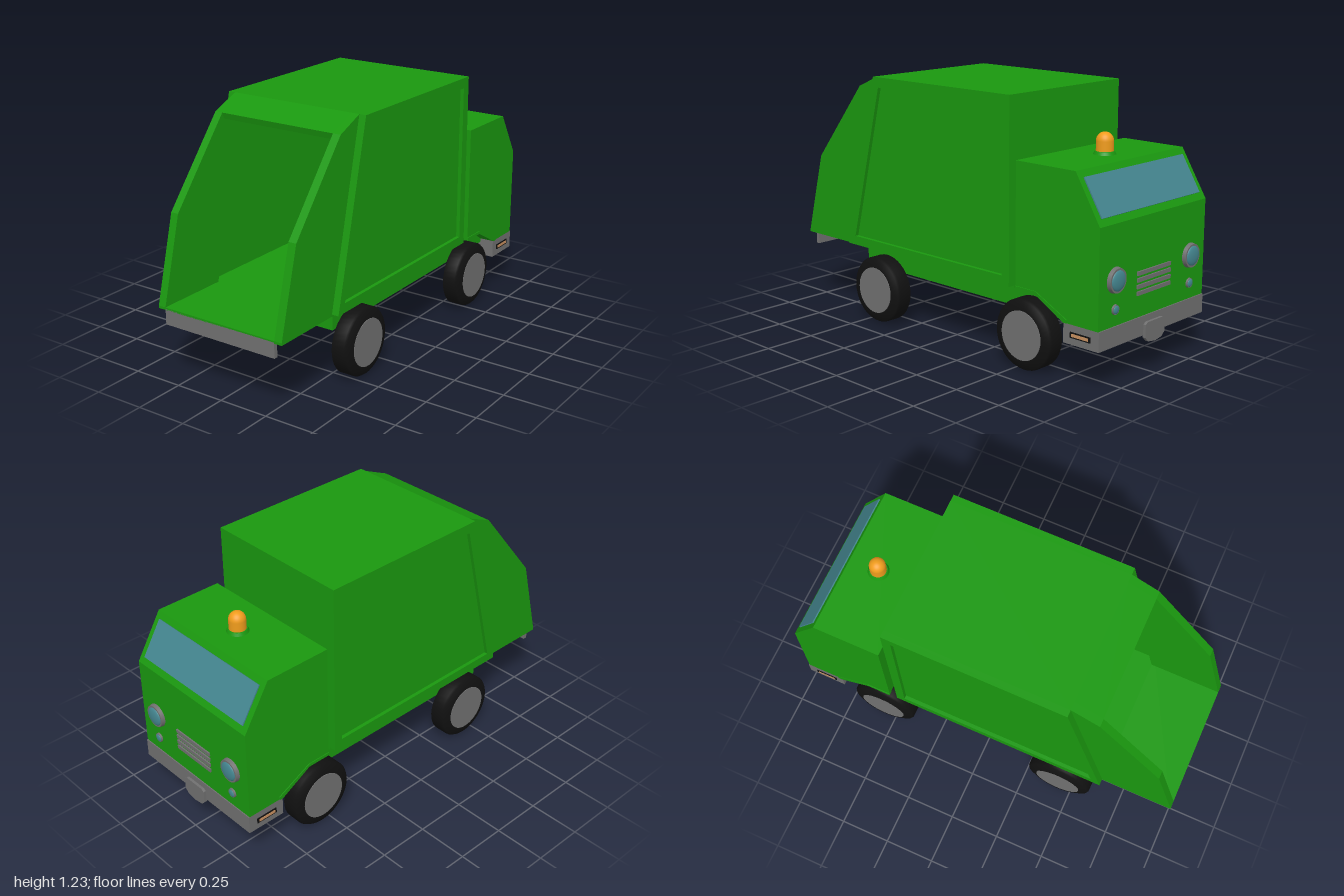
import * as THREE from 'three';

const mat = (color) => new THREE.MeshStandardMaterial({ color });

export function createModel() {
  const truck = new THREE.Group();
  truck.name = 'refuseTruck';
  const green = mat(0x1a980f), black = mat(0x101010), grey = mat(0x707070);
  const glass = mat(0x44858f), orange = mat(0xf09c1c), amber = mat(0xc89060);

  const add = (name, geometry, material, parent = truck) => {
    const mesh = new THREE.Mesh(geometry, material);
    mesh.name = name;
    parent.add(mesh);
    return mesh;
  };
  // box given by its limits on each axis
  const box = (name, x0, x1, y0, y1, z0, z1, material) => {
    const g = new THREE.BoxGeometry(x1 - x0, y1 - y0, z1 - z0);
    g.translate((x0 + x1) / 2, (y0 + y1) / 2, (z0 + z1) / 2);
    return add(name, g, material);
  };
  const points = (list) => list.map(([z, y]) => new THREE.Vector2(z, y));
  // side outline of [z, y] points, extruded from x0 to x1
  const slab = (name, outline, x0, x1, material, hole) => {
    const shape = new THREE.Shape(points(outline));
    if (hole) shape.holes.push(new THREE.Path(points(hole)));
    const g = new THREE.ExtrudeGeometry(shape, { depth: x1 - x0, bevelEnabled: false });
    g.rotateY(-Math.PI / 2).translate(x1, 0, 0);
    return add(name, g, material);
  };
  // the same slab on both sides
  const slabPair = (name, outline, x0, x1, material, hole) => {
    slab(name + 'Left', outline, x0, x1, material, hole);
    slab(name + 'Right', outline, -x1, -x0, material, hole);
  };

  // chassis
  box('chassis', -0.305, 0.305, 0.26, 0.36, -0.8, 0.58, green);

  // hollow container with framed, recessed side panels
  const side = [[-0.46, 0.37], [0.64, 0.37], [0.43, 1.23], [-0.46, 1.23]];
  const panel = [[-0.415, 0.415], [0.59, 0.415], [0.395, 1.18], [-0.415, 1.18]];
  slabPair('bodyFrame', side, 0.345, 0.38, green, panel);
  slabPair('bodyPanel', panel, 0.345, 0.362, green);
  box('bodyRoof', -0.345, 0.345, 1.2, 1.23, -0.46, 0.43, green);
  box('bodyFrontWall', -0.345, 0.345, 0.37, 1.2, -0.46, -0.43, green);
  box('bodyFloor', -0.345, 0.345, 0.358, 0.372, -0.46, 0.64, green);

  // open loading hopper
  slabPair('hopperWall', [[0.64, 0.37], [1, 0.37], [0.89, 0.78], [0.57, 1.17], [0.43, 1.23]],
    0.305, 0.345, green);
  slab('hopperHood', [[0.43, 1.23], [0.42, 1.2], [0.56, 1.14], [0.57, 1.17]], -0.305, 0.305, green);
  box('hopperFloor', -0.345, 0.345, 0.36, 0.372, 0.64, 1, green);
  box('hopperLip', -0.305, 0.305, 0.29, 0.365, 0.98, 1, grey);

  // cab with wheel arches
  slab('cab', [[-0.5, 0.38], [-0.5, 0.95], [-0.835, 0.95], [-0.97, 0.73], [-0.97, 0.28],
    [-0.78, 0.28], [-0.64, 0.37]].reverse(), -0.38, 0.38, green);
  slabPair('wheelArch', [[-0.5, 0.37], [-0.5, 0.385], [-0.62, 0.385], [-0.8, 0.295],
    [-0.8, 0.28], [-0.78, 0.28], [-0.62, 0.37]].reverse(), 0.36, 0.384, green);

  // windscreen in the sloping front
  const slope = Math.atan2(0.22, 0.135);
  const screen = add('windscreen', new THREE.BoxGeometry(0.7, 0.19, 0.012), glass);
  screen.position.set(0, 0.84, -0.9025);
  screen.rotation.x = Math.PI / 2 - slope;

  // bumper with number plate and side lights
  box('bumper', -0.38, 0.38, 0.19, 0.28, -0.975, -0.78, grey);
  const plateShape = new THREE.Shape(points([[-0.07, 0.18], [-0.05, 0.16], [0, 0.152], [0.05, 0.16],
    [0.07, 0.18], [0.07, 0.24], [0.055, 0.25], [-0.055, 0.25], [-0.07, 0.24]]));
  const plate = new THREE.ExtrudeGeometry(plateShape, { depth: 0.015, bevelEnabled: false });
  add('bumperPlate', plate.translate(0, 0, -0.988), grey);
  for (const s of [-1, 1]) {
    const x = s * 0.38;
    box('sideLightFrame', x - 0.004, x + 0.004, 0.222, 0.248, -0.93, -0.82, black);
    box('sideLight', x - 0.006, x + 0.006, 0.228, 0.242, -0.92, -0.83, amber);
  }

  // grille
  for (let i = 0; i < 4; i++) {
    const y = 0.39 + i * 0.03;
    box('grilleBar', -0.12, 0.12, y - 0.009, y + 0.009, -0.977, -0.965, grey);
  }

  // domed lamps facing forward
  const lamp = (name, x, y, r, depth) => {
    const group = new THREE.Group();
    group.name = name;
    group.position.set(x, y, -0.97);
    group.rotation.x = -Math.PI / 2;
    truck.add(group);
    add('lampRing', new THREE.CylinderGeometry(r * 0.94, r, depth * 0.6, 28), grey, group)
      .position.y = depth * 0.3;
    const lens = add('lampLens', new THREE.SphereGeometry(r * 0.8, 28, 8, 0, Math.PI * 2, 0, Math.PI / 2), glass, group);
    lens.position.y = depth * 0.55;
    lens.scale.y = depth * 0.45 / (r * 0.8);
  };
  for (const s of [-1, 1]) {
    lamp('headlight', s * 0.27, 0.485, 0.058, 0.03);
    lamp('indicator', s * 0.27, 0.355, 0.023, 0.014);
  }

  // roof beacon
  const base = add('beaconBase', new THREE.CylinderGeometry(0.045, 0.052, 0.015, 28), green);
  base.position.set(0, 0.957, -0.685);
  const dome = add('beacon', new THREE.CapsuleGeometry(0.04, 0.09, 8, 28), orange);
  dome.position.set(0, 0.965, -0.685);

  // wheels: tyre profile as [radius, distance along axle]
  const tyre = [[0, 0], [0.15, 0], [0.165, 0.005], [0.165, 0.07], [0.158, 0.08],
    [0.12, 0.095], [0.112, 0.088], [0, 0.088]];
  for (const s of [-1, 1]) {
    for (const [name, z] of [['rearWheel', 0.43], ['frontWheel', -0.55]]) {
      const wheel = new THREE.Group();
      wheel.name = name + (s > 0 ? 'Left' : 'Right');
      wheel.position.set(s * 0.305, 0.168, z);
      wheel.rotation.z = -s * Math.PI / 2;
      truck.add(wheel);
      add('tyre', new THREE.LatheGeometry(points(tyre), 40), black, wheel);
      add('hubcap', new THREE.CylinderGeometry(0.115, 0.115, 0.02, 40), grey, wheel).position.y = 0.084;
    }
  }
  return truck;
}
